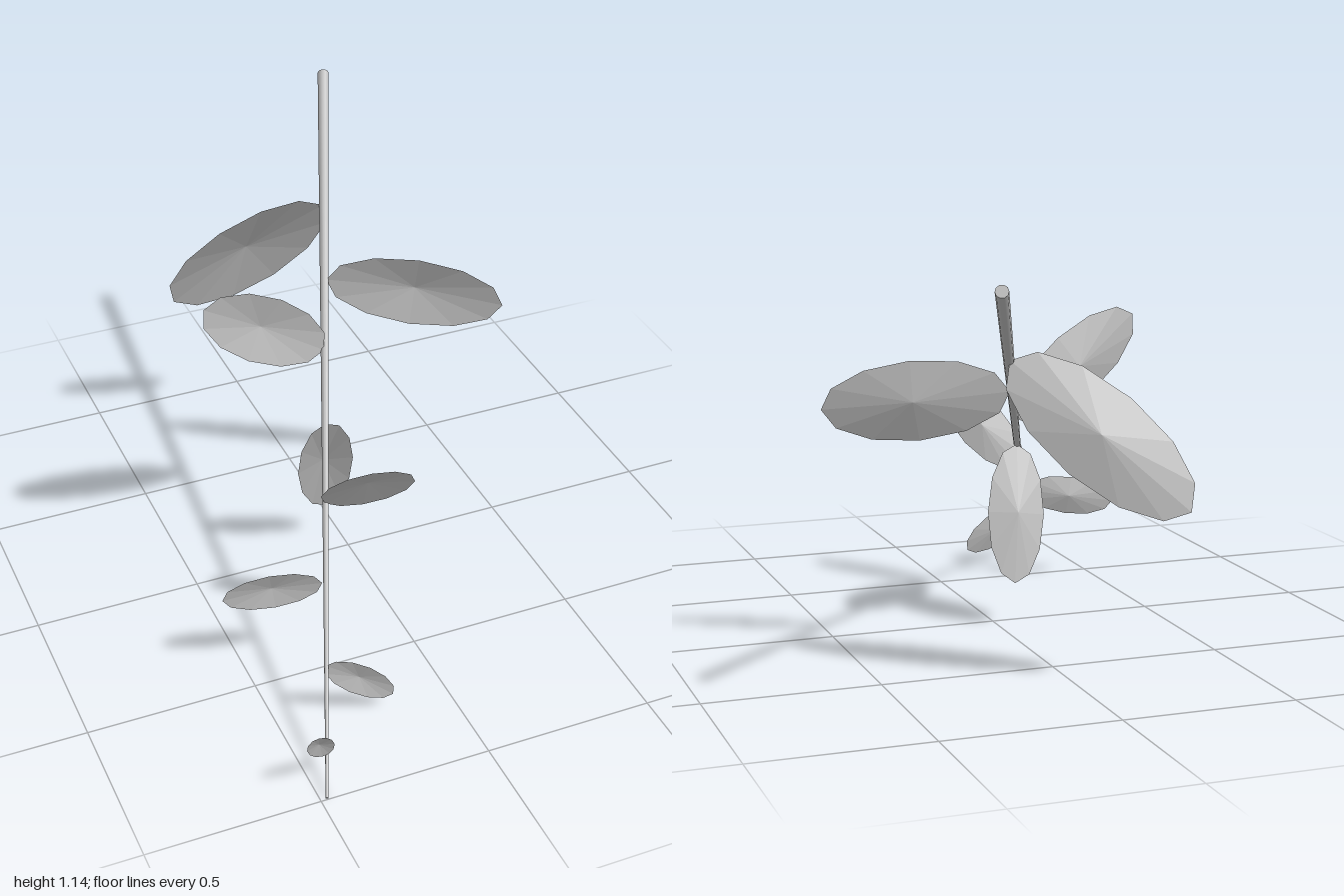
import * as THREE from 'three';

const SIDES = 12;

// Shallow open cone over an elliptical rim, running from base to tip; apex points along normal
function leafGeometry(base, tip, normal) {
  const centre = base.clone().add(tip).multiplyScalar(0.5);
  const long = tip.clone().sub(base).multiplyScalar(0.5);
  const half = long.length();
  const n = normal.clone().addScaledVector(long, -normal.dot(long) / (half * half)).normalize();
  const wide = n.clone().cross(long).multiplyScalar(0.42);
  const apex = centre.clone().addScaledVector(n, half * 0.11);
  const points = [apex];
  const index = [];
  for (let i = 0; i < SIDES; i++) {
    const a = (i / SIDES) * Math.PI * 2;
    points.push(centre.clone().addScaledVector(long, Math.cos(a)).addScaledVector(wide, Math.sin(a)));
    index.push(0, 1 + i, 1 + ((i + 1) % SIDES));
  }
  const indexed = new THREE.BufferGeometry().setFromPoints(points);
  indexed.setIndex(index);
  const geometry = indexed.toNonIndexed();
  geometry.computeVertexNormals();
  return geometry;
}

export function createModel() {
  const group = new THREE.Group();
  group.name = 'leafyTwig';
  const grey = new THREE.MeshStandardMaterial({ color: 0xbfbfbf, side: THREE.DoubleSide });
  grey.name = 'grey';

  // Tapered straight stem
  const thin = new THREE.Vector3(-0.482, 0.003, 0.998);
  const thick = new THREE.Vector3(0.328, 1.123, -0.987);
  const along = thick.clone().sub(thin);
  const stem = new THREE.Mesh(new THREE.CylinderGeometry(0.018, 0.004, along.length(), 10), grey);
  stem.name = 'stem';
  stem.position.copy(thin).add(thick).multiplyScalar(0.5);
  stem.quaternion.setFromUnitVectors(new THREE.Vector3(0, 1, 0), along.normalize());
  group.add(stem);

  // Leaves from the thick end to the thin end: base, tip, facing
  const leaves = [
    [[0.155, 0.885, -0.57], [-0.27, 0.49, -0.82], [0.28, 0.29, -0.92]],
    [[0.07, 0.76, -0.34], [0.55, 0.695, -0.09], [0.46, 0, -0.89]],
    [[-0.02, 0.645, -0.14], [-0.42, 0.925, -0.062], [-0.18, 0, -0.98]],
    [[-0.1, 0.527, 0.064], [-0.05, 0.128, -0.06], [0.02, 0.295, -0.95]],
    [[-0.19, 0.41, 0.28], [-0.03, 0.63, 0.52], [0.43, 0.49, -0.757]],
    [[-0.28, 0.29, 0.475], [-0.553, 0.25, 0.395], [0.27, 0.05, -0.96]],
    [[-0.357, 0.18, 0.69], [-0.168, 0.04, 0.725], [0.2, 0.02, -0.98]],
    [[-0.435, 0.063, 0.9], [-0.512, 0.198, 0.972], [-0.17, 0.38, -0.9]],
  ];
  leaves.forEach(([base, tip, facing], i) => {
    const [b, t, n] = [base, tip, facing].map((p) => new THREE.Vector3(...p));
    const leaf = new THREE.Mesh(leafGeometry(b, t, n), grey);
    leaf.name = `leaf${i + 1}`;
    group.add(leaf);
  });
  return group;
}
